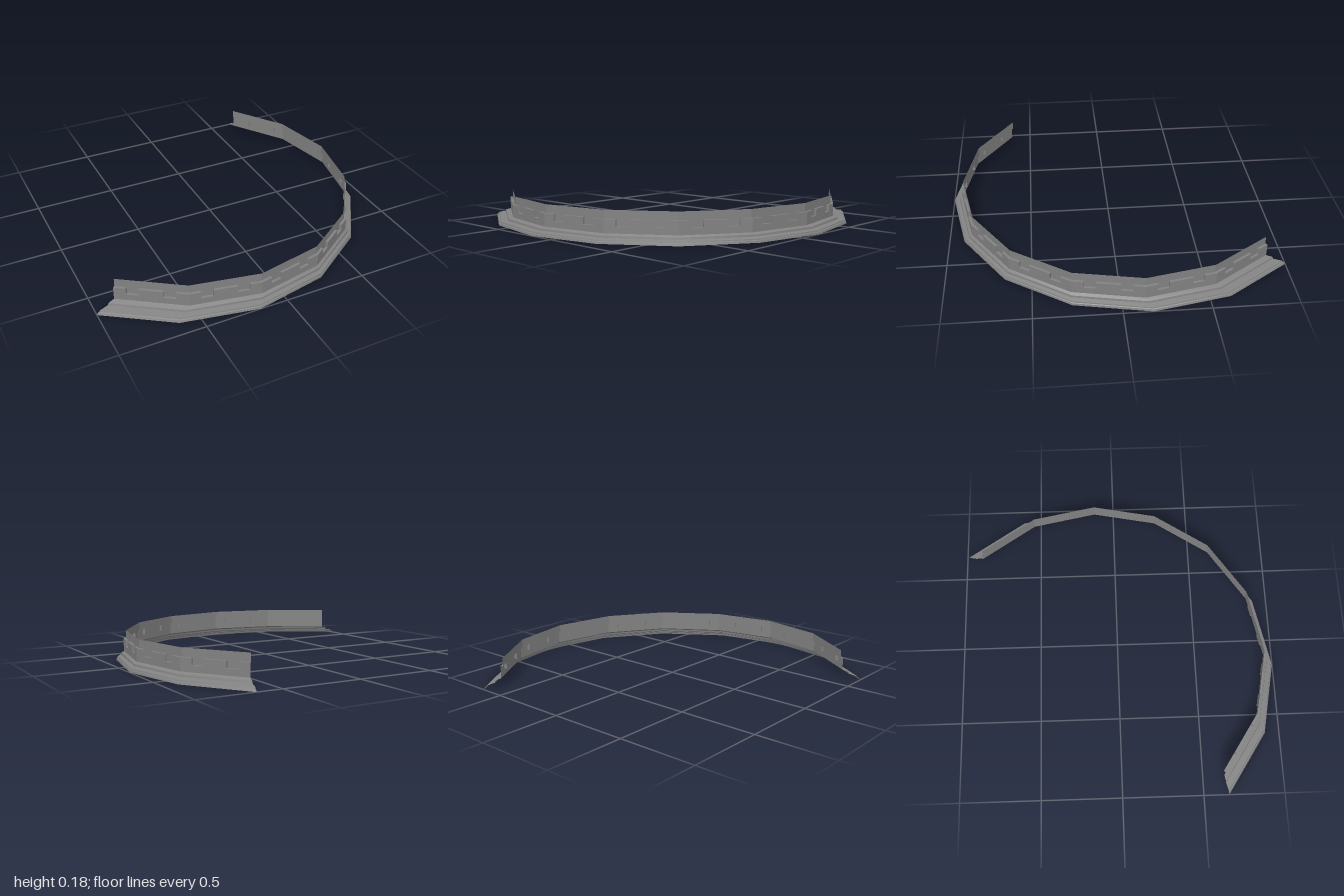
import * as THREE from 'three';
import { toCreasedNormals } from 'three/addons/utils/BufferGeometryUtils.js';

const SEGMENTS = 8;
const OUTER = 1.1716;   // radius of the lowest rim
const WALL = 1.055;     // radius of the upper wall
const BAND = 1.0706;    // radius of the notched band

// Corner k of the half ring; the foot also shifts along the diagonal as it widens.
function corner(k, r, y) {
  const a = -Math.PI / 4 + (k * Math.PI) / SEGMENTS;
  const c = -0.13 - Math.max(0, r - BAND) * 0.412;
  return new THREE.Vector3(c + r * Math.cos(a), y, c + r * Math.sin(a));
}

// Point at position t along the polygonal path (t runs from 0 to SEGMENTS).
function pointAt(t, [r, y]) {
  const k = Math.min(Math.floor(t + 1e-6), SEGMENTS - 1);
  return corner(k, r, y).lerp(corner(k + 1, r, y), t - k);
}

function quad(out, a, b, c, d) {
  for (const p of [a, b, c, a, c, d]) out.push(p.x, p.y, p.z);
}

// Sweeps a [radius, height] profile, listed bottom to top, from t0 to t1.
function sweep(out, profile, t0, t1) {
  for (let i = 0; i < profile.length - 1; i++) {
    const lo = profile[i], hi = profile[i + 1];
    quad(out, pointAt(t0, lo), pointAt(t0, hi), pointAt(t1, hi), pointAt(t1, lo));
  }
}

export function createModel() {
  const group = new THREE.Group();
  group.name = 'curvedCornice';
  const material = new THREE.MeshStandardMaterial({ color: 0x828282, side: THREE.DoubleSide });
  // Edges sharper than the crease angle stay hard
  const addPart = (name, positions, crease) => {
    const geometry = new THREE.BufferGeometry();
    geometry.setAttribute('position', new THREE.Float32BufferAttribute(positions, 3));
    const mesh = new THREE.Mesh(toCreasedNormals(geometry, crease), material);
    mesh.name = name;
    group.add(mesh);
  };

  const base = [], band = [], wall = [];
  // Stepped foot moulding
  const baseProfile = [
    [OUTER, 0], [1.166, 0.012], [1.157, 0.015], [1.154, 0.022],
    [1.108, 0.03], [1.104, 0.042], [BAND, 0.052],
  ];
  const raised = [[BAND, 0.052], [BAND, 0.13], [WALL, 0.13]];
  const notch = [[BAND, 0.052], [BAND, 0.09], [WALL, 0.09], [WALL, 0.13]];
  const stops = [0, 1 / 6, 1 / 3, 2 / 3, 5 / 6, 1];

  for (let k = 0; k < SEGMENTS; k++) {
    sweep(base, baseProfile, k, k + 1);
    sweep(wall, [[WALL, 0.13], [WALL, 0.18]], k, k + 1);
    // Band with two notches per segment
    for (let i = 0; i < 5; i++) {
      sweep(band, i % 2 ? notch : raised, k + stops[i], k + stops[i + 1]);
    }
    // Cheeks at the sides of the notches
    for (let i = 1; i < 5; i++) {
      const p = [[WALL, 0.09], [WALL, 0.13], [BAND, 0.13], [BAND, 0.09]]
        .map((q) => pointAt(k + stops[i], q));
      quad(band, ...(i % 2 ? p : p.reverse()));
    }
  }

  addPart('baseMoulding', base, 0.5);
  addPart('notchedBand', band, 0.1);
  addPart('upperWall', wall, 0.1);
  return group;
}
